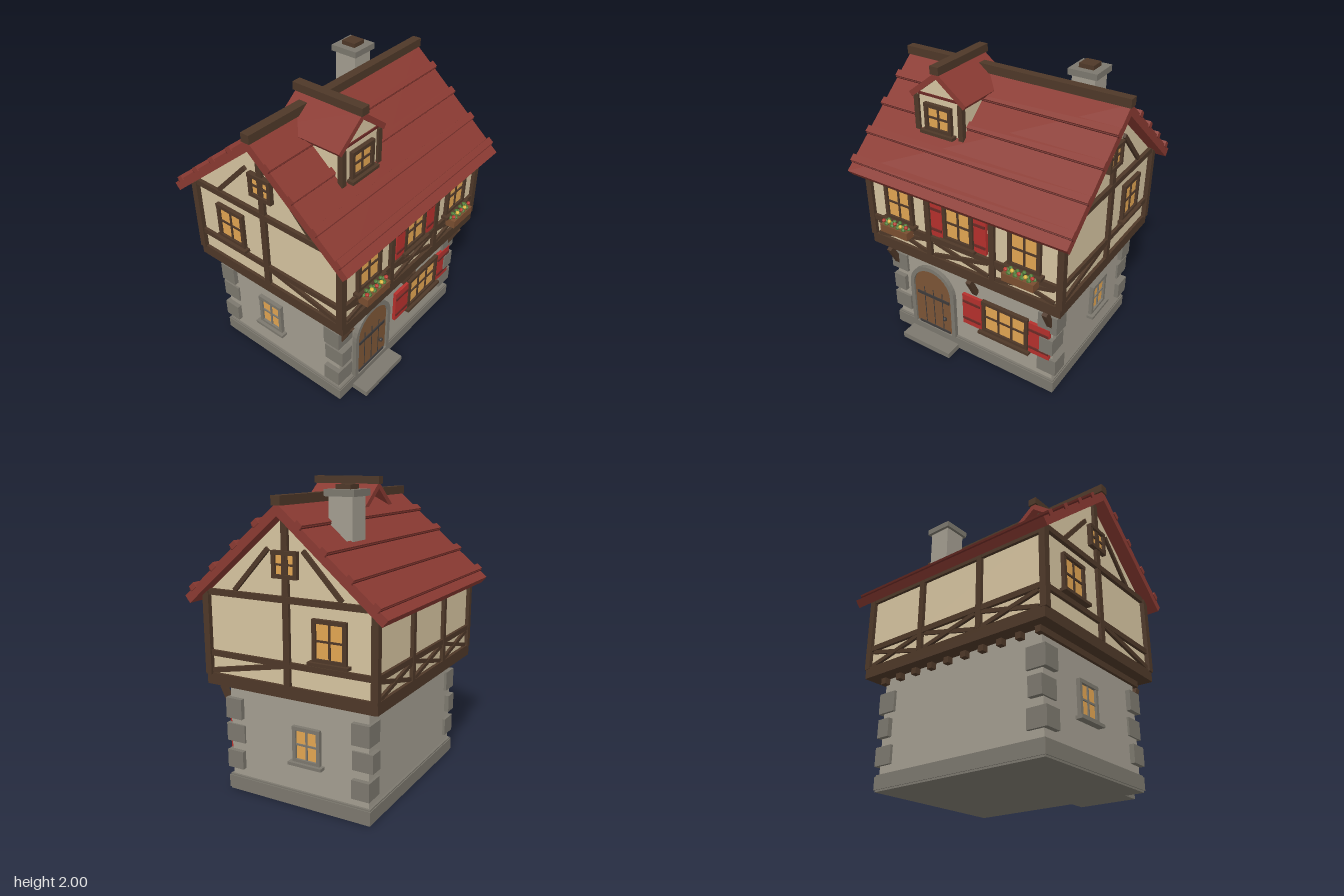
import * as THREE from 'three';

const C = {
  plaster: 0xd6c4a0, stone: 0xa39d90, darkStone: 0x7c786e, timber: 0x4e3828, roof: 0x8a3a32,
  trim: 0x6b2a25, shutter: 0xb5302c, glass: 0xe2a552, door: 0x7c5535, box: 0x7a4e30,
  iron: 0x3d3a3a, leaf: 0x4f7a35, red: 0xb83a30, yellow: 0xe0b840,
};
const mats = {};
const mat = (c) => (mats[c] ??= new THREE.MeshStandardMaterial({ color: C[c], flatShading: true }));

function add(parent, name, geo, c, x = 0, y = 0, z = 0) {
  const m = new THREE.Mesh(geo, mat(c));
  m.name = name;
  m.position.set(x, y, z);
  parent.add(m);
  return m;
}
// Box given by its lower and upper bounds
const block = (p, name, c, x0, x1, y0, y1, z0, z1) =>
  add(p, name, new THREE.BoxGeometry(x1 - x0, y1 - y0, z1 - z0), c, (x0 + x1) / 2, (y0 + y1) / 2, (z0 + z1) / 2);

function group(parent, name, x = 0, y = 0, z = 0, ry = 0) {
  const g = new THREE.Group();
  g.name = name;
  g.position.set(x, y, z);
  g.rotation.y = ry;
  parent.add(g);
  return g;
}
// Timber lying on a wall plane between two points
function beam(p, name, x1, y1, x2, y2, w = 0.03, d = 0.02) {
  const geo = new THREE.BoxGeometry(Math.hypot(x2 - x1, y2 - y1), w, d);
  add(p, name, geo, 'timber', (x1 + x2) / 2, (y1 + y2) / 2, d / 2).rotation.z = Math.atan2(y2 - y1, x2 - x1);
}
// Framed window on a wall plane: x is the centre, y the bottom
function addWindow(p, x, y, w, h, { cols = 2, frame = 'timber', sill = true, out = 0.025 } = {}) {
  const g = group(p, 'window', x, y);
  const t = 0.024, a = w / 2;
  block(g, 'glass', 'glass', -a + t, a - t, t, h - t, -0.01, out - 0.015);
  for (const s of [-1, 1]) {
    block(g, 'frameSide', frame, s * (a - t / 2) - t / 2, s * (a - t / 2) + t / 2, 0, h, -0.01, out);
  }
  block(g, 'frameBottom', frame, -a, a, 0, t, -0.01, out);
  block(g, 'frameTop', frame, -a, a, h - t, h, -0.01, out + 0.003);
  for (let i = 1; i < cols; i++) {
    const mx = -a + t + ((w - 2 * t) * i) / cols;
    block(g, 'mullion', frame, mx - 0.006, mx + 0.006, t, h - t, 0, out - 0.007);
  }
  block(g, 'crossBar', frame, -a + t, a - t, h / 2 - 0.006, h / 2 + 0.006, 0, out - 0.007);
  if (sill) block(g, 'sill', frame, -a - 0.022, a + 0.022, -0.015, 0.005, -0.01, out + 0.022);
}
function addShutter(p, x0, x1, y0, y1) {
  const g = group(p, 'shutter');
  block(g, 'shutterPanel', 'shutter', x0, x1, y0, y1, -0.005, 0.022);
  for (const f of [0.2, 0.78]) {
    const y = y0 + (y1 - y0) * f;
    block(g, 'shutterBar', 'trim', x0 + 0.004, x1 - 0.004, y - 0.009, y + 0.009, 0, 0.028);
  }
}
function addFlowerBox(p, x) {
  const g = group(p, 'flowerBox', x, 0.91, 0.058);
  block(g, 'planter', 'box', -0.11, 0.11, 0, 0.055, -0.033, 0.033);
  const kinds = ['red', 'leaf', 'yellow', 'leaf'];
  for (let i = 0; i < 9; i++) {
    const fx = -0.092 + i * 0.023;
    add(g, 'leaves', new THREE.IcosahedronGeometry(0.017), 'leaf', fx, 0.06, i % 2 ? 0.014 : -0.012);
    add(g, 'flower', new THREE.IcosahedronGeometry(0.014), kinds[i % 4], fx, 0.076 + (i % 3) * 0.004, i % 2 ? -0.01 : 0.013);
  }
}
// Two sloping slabs with the ridge along x, top of ridge at the group's origin
function gableRoof(parent, name, width, span, rise, t, courses = []) {
  const g = group(parent, name);
  const angle = Math.atan2(rise, span), len = Math.hypot(span, rise);
  for (const ry of [0, Math.PI]) {
    const side = group(g, 'roofSide', 0, 0, 0, ry);
    const slope = group(side, 'roofSlope');
    slope.rotation.x = angle;
    block(slope, 'roofSlab', 'roof', -width / 2, width / 2, -t, 0, 0, len);
    for (const z of courses) {
      const d = z / Math.cos(angle), w = width / 2 + 0.006;
      block(slope, 'tileCourse', 'roof', -w, w, -0.012, 0.022, d - 0.015, d + 0.03);
      block(slope, 'tileCourseShadow', 'trim', -w, w, -0.01, 0.01, d + 0.03, d + 0.036);
    }
  }
  return g;
}
// House-shaped solid in x-y, extruded along z
function gableBody(half, y0, yWall, yTop, depth) {
  const s = new THREE.Shape([[-half, y0], [half, y0], [half, yWall], [0, yTop], [-half, yWall]].map((q) => new THREE.Vector2(...q)));
  return new THREE.ExtrudeGeometry(s, { depth, bevelEnabled: false });
}
function arch(T, r, y0, yc) {
  const s = new T();
  s.moveTo(-r, y0);
  s.lineTo(r, y0);
  s.lineTo(r, yc);
  s.absarc(0, yc, r, 0, Math.PI, false);
  s.lineTo(-r, y0);
  return s;
}

function addDoor(p) {
  const g = group(p, 'door', -0.31, 0, 0);
  const surround = arch(THREE.Shape, 0.185, 0.1, 0.435);
  surround.holes.push(arch(THREE.Path, 0.155, 0.1, 0.435));
  add(g, 'doorSurround', new THREE.ExtrudeGeometry(surround, { depth: 0.04, bevelEnabled: false, curveSegments: 8 }), 'darkStone', 0, 0, -0.01);
  add(g, 'doorLeaf', new THREE.ExtrudeGeometry(arch(THREE.Shape, 0.157, 0.1, 0.435), { depth: 0.02, bevelEnabled: false, curveSegments: 8 }), 'door', 0, 0, -0.005);
  for (const x of [-0.075, 0, 0.075]) block(g, 'plankGroove', 'iron', x - 0.003, x + 0.003, 0.12, 0.43, 0.01, 0.017);
  for (const y of [0.105, 0.37]) block(g, 'hingeStrap', 'iron', -0.135, 0.135, y - 0.011, y + 0.011, 0.01, 0.022);
  add(g, 'doorKnob', new THREE.SphereGeometry(0.015, 8, 6), 'iron', 0.096, 0.222, 0.025);
}

function addGroundFloor(house) {
  const g = group(house, 'groundFloor');
  block(g, 'plinth', 'darkStone', -0.64, 0.64, 0, 0.105, -0.515, 0.515);
  block(g, 'plinthBand', 'darkStone', -0.646, 0.646, 0.012, 0.095, -0.521, 0.521);
  block(g, 'stoneWalls', 'stone', -0.625, 0.625, 0.1, 0.74, -0.5, 0.5);
  block(g, 'doorStep', 'darkStone', -0.51, -0.11, 0, 0.04, 0.45, 0.635);
  // Corner stones
  for (const sx of [-1, 1]) for (const sz of [-1, 1]) {
    [[0.16, 0.28, 0], [0.335, 0.455, 1], [0.5, 0.635, 0]].forEach(([y0, y1, k]) => {
      const w = k ? 0.095 : 0.135, d = k ? 0.14 : 0.12, ox = k ? 0.638 : 0.657, oz = k ? 0.532 : 0.518;
      add(g, 'cornerStone', new THREE.BoxGeometry(w, y1 - y0, d), 'darkStone', sx * (ox - w / 2), (y0 + y1) / 2, sz * (oz - d / 2));
    });
    }
  const front = group(g, 'groundFront', 0, 0, 0.5);
  addDoor(front);
  addWindow(front, 0.275, 0.275, 0.35, 0.255, { cols: 3 });
  addShutter(front, -0.055, 0.092, 0.275, 0.52);
  addShutter(front, 0.458, 0.61, 0.275, 0.52);
  for (const s of [-1, 1]) {
    const side = group(g, 'groundSide', s * 0.625, 0, 0, (s * Math.PI) / 2);
    addWindow(side, s * 0.078, 0.3, 0.195, 0.235, { frame: 'darkStone' });
  }
  // Slanting brackets below the overhang
  for (const x of [-0.61, 0.045, 0.605]) {
    add(g, 'bracket', new THREE.BoxGeometry(0.034, 0.155, 0.035), 'timber', x, 0.63, 0.54).rotation.x = 0.46;
  }
}

function addUpperFloor(house) {
  const g = group(house, 'upperFloor');
  for (let i = 0; i < 10; i++) {
    const x = -0.625 + i * 0.1375;
    block(g, 'joist', 'timber', x - 0.02, x + 0.02, 0.695, 0.74, -0.54, 0.54);
  }
  block(g, 'floorBeams', 'timber', -0.72, 0.72, 0.735, 0.81, -0.602, 0.602);
  add(g, 'plasterWalls', gableBody(0.58, 0.8, 1.32, 1.81, 1.4), 'plaster', -0.7, 0, 0).rotation.y = Math.PI / 2;
  for (const x of [-0.71, 0.71]) for (const z of [-0.583, 0.583]) {
    block(g, 'cornerPost', 'timber', x - 0.021, x + 0.021, 0.8, 1.33, z - 0.022, z + 0.022);
  }
  // Long walls: rails, posts and crossed braces
  for (const s of [1, -1]) {
    const wall = group(g, s > 0 ? 'frontFraming' : 'backFraming', 0, 0, s * 0.58, s > 0 ? 0 : Math.PI);
    beam(wall, 'middleRail', -0.7, 0.942, 0.7, 0.942, 0.036);
    beam(wall, 'topRail', -0.7, 1.3, 0.7, 1.3, 0.036);
    for (const x of [-0.24, 0.24]) beam(wall, 'post', x, 0.81, x, 1.32, 0.038, 0.023);
    for (const x of [-0.465, 0, 0.465]) for (const k of [-1, 1]) {
      beam(wall, 'crossBrace', x - 0.205, 0.868 - k * 0.05, x + 0.205, 0.868 + k * 0.05, 0.026, 0.016 + k * 0.002);
    }
    if (s < 0) continue;
    for (const x of [-0.468, -0.005, 0.466]) addWindow(wall, x, 0.982, 0.222, 0.258);
    for (const x of [-0.468, 0.466]) addFlowerBox(wall, x);
    addShutter(wall, -0.208, -0.122, 0.98, 1.235);
    addShutter(wall, 0.116, 0.204, 0.98, 1.235);
  }
  // Gable walls; f points to the front along the wall
  for (const s of [1, -1]) {
    const wall = group(g, 'gableFraming', s * 0.7, 0, 0, (s * Math.PI) / 2);
    const f = -s;
    beam(wall, 'middleRail', -0.57, 0.94, 0.57, 0.94, 0.036);
    beam(wall, 'tieBeam', -0.6, 1.328, 0.6, 1.328, 0.038, 0.024);
    beam(wall, 'centrePost', 0, 0.81, 0, 1.83, 0.042, 0.022);
    beam(wall, 'lowBrace', f * 0.56, 0.825, f * 0.02, 0.93, 0.032, 0.018);
    for (const k of [-1, 1]) beam(wall, 'gableBrace', k * 0.12, 1.615, k * 0.37, 1.35, 0.028, 0.018);
    addWindow(wall, -f * 0.29, 0.985, 0.225, 0.255);
    addWindow(wall, 0, 1.45, 0.172, 0.16, { sill: false, out: 0.03 });
  }
}

function addDormer(house) {
  const g = group(house, 'dormer', -0.28, 0, 0);
  add(g, 'dormerWalls', gableBody(0.165, 1.54, 1.79, 1.925, 0.37), 'plaster');
  for (const x of [-0.163, 0.163]) block(g, 'dormerPost', 'timber', x - 0.017, x + 0.017, 1.56, 1.79, 0.352, 0.386);
  block(g, 'dormerTie', 'trim', -0.15, 0.15, 1.795, 1.81, 0.36, 0.378);
  addWindow(group(g, 'dormerFront', 0, 0, 0.37), 0, 1.575, 0.2, 0.18);
  const r = gableRoof(g, 'dormerRoof', 0.475, 0.212, 0.165, 0.035);
  r.position.set(0, 1.963, 0.15);
  r.rotation.y = Math.PI / 2;
  block(g, 'dormerRidge', 'timber', -0.031, 0.031, 1.95, 2, -0.1, 0.4);
}

function addChimney(house) {
  const g = group(house, 'chimney', 0.402, 0, -0.228);
  block(g, 'chimneyStack', 'stone', -0.078, 0.078, 1.55, 1.91, -0.078, 0.078);
  block(g, 'chimneyCap', 'darkStone', -0.098, 0.098, 1.905, 1.945, -0.098, 0.098);
  block(g, 'chimneyPot', 'timber', -0.05, 0.05, 1.94, 1.972, -0.05, 0.05);
}

export function createModel() {
  const house = new THREE.Group();
  house.name = 'timberHouse';
  addGroundFloor(house);
  addUpperFloor(house);
  gableRoof(house, 'mainRoof', 1.576, 0.69, 0.58, 0.055, [0.135, 0.293, 0.455, 0.615]).position.y = 1.88;
  block(house, 'ridgeBeam', 'timber', -0.796, 0.796, 1.865, 1.92, -0.03, 0.03);
  addDormer(house);
  addChimney(house);
  return house;
}
